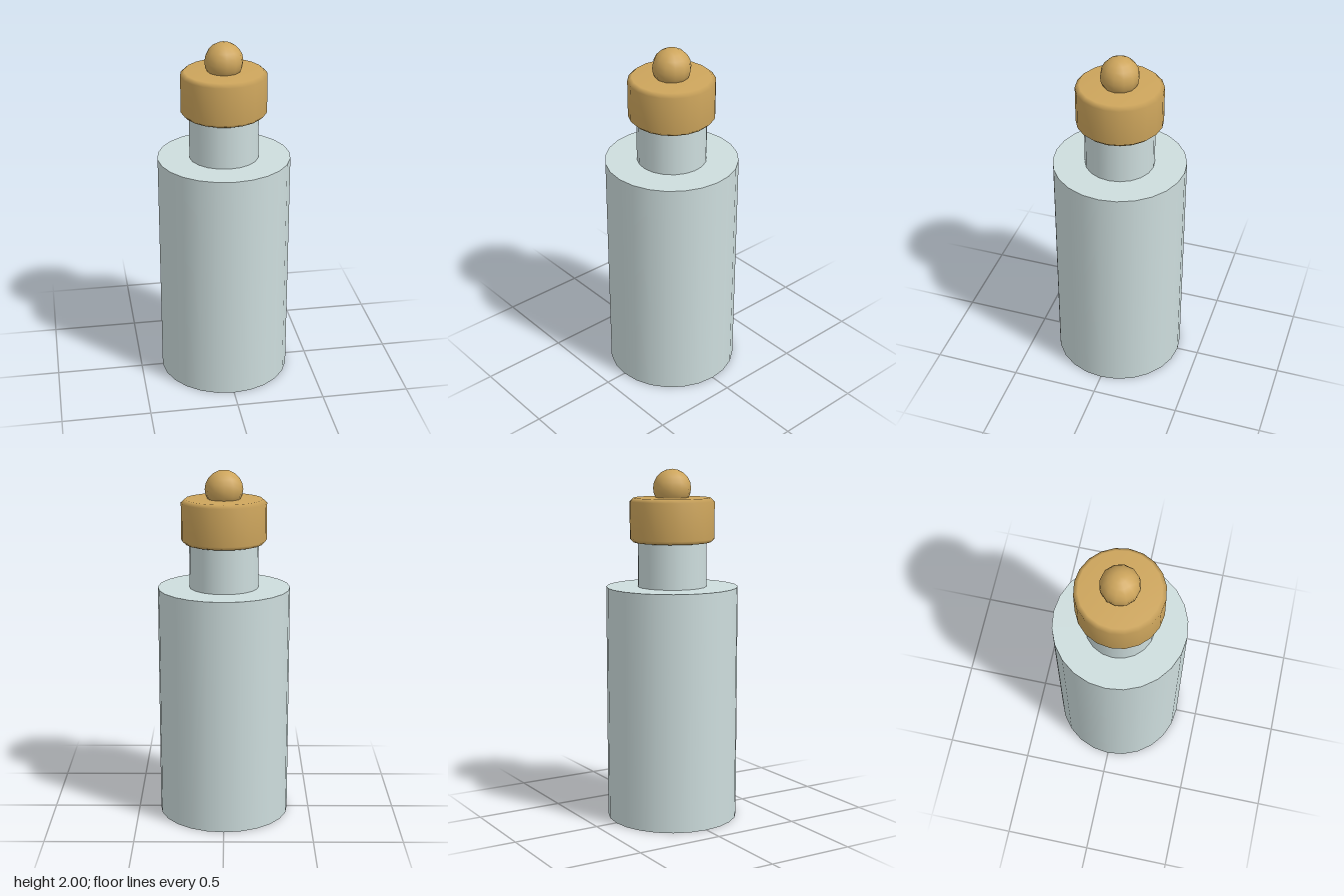
import * as THREE from 'three';

export function createModel() {
  const model = new THREE.Group();
  model.name = 'bottle';

  const glass = new THREE.MeshStandardMaterial({ color: 0xcddddd });
  glass.name = 'paleGlass';
  const gold = new THREE.MeshStandardMaterial({ color: 0xcda55c });
  gold.name = 'gold';

  const add = (name, geometry, material, y = 0) => {
    const mesh = new THREE.Mesh(geometry, material);
    mesh.name = name;
    mesh.position.y = y;
    model.add(mesh);
  };

  // Straight body and narrower neck
  add('body', new THREE.CylinderGeometry(0.374, 0.374, 1.34, 24), glass, 0.67);
  add('neck', new THREE.CylinderGeometry(0.195, 0.195, 0.28, 20), glass, 1.47);

  // Stopper collar with softened rims, shaded smoothly across its bevels
  const profile = [
    [0, 1.592], [0.22, 1.592], [0.24, 1.612],
    [0.24, 1.82], [0.217, 1.84], [0, 1.84],
  ].map(([r, y]) => new THREE.Vector2(r, y));
  add('stopperCollar', new THREE.LatheGeometry(profile, 20), gold);

  // Round knob, sunk into the collar
  add('stopperKnob', new THREE.SphereGeometry(0.107, 12, 10), gold, 1.893);

  return model;
}
